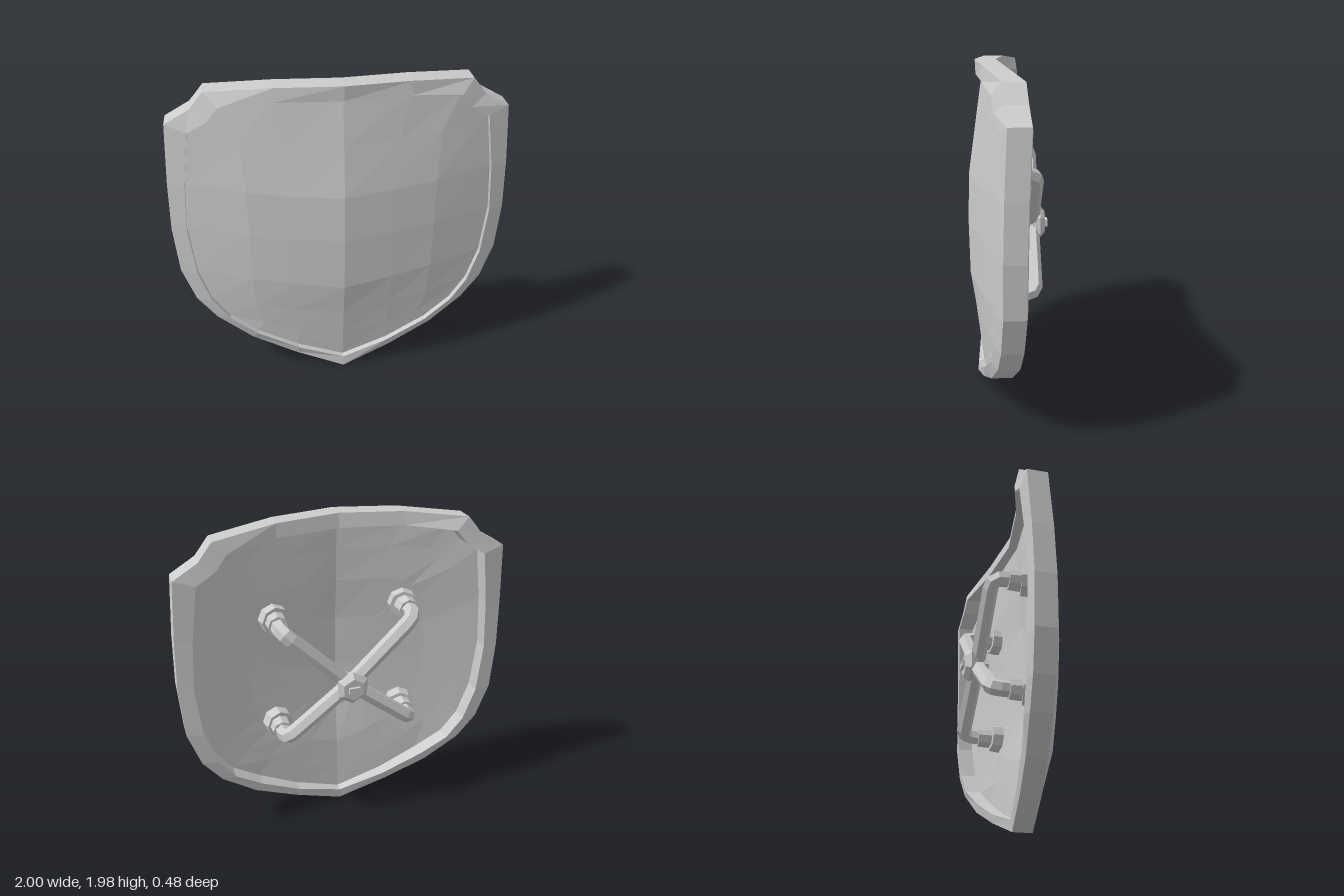
import * as THREE from 'three';

const mat = new THREE.MeshStandardMaterial({ color: 0xcccccc, flatShading: true });

// Right half of the rim, top centre to bottom tip: outer x, y, front z, inner x, y
const half = [
  [0, 1.98, 0.19, 0, 1.895], [0.37, 1.97, 0.14, 0.38, 1.89],
  [0.74, 1.93, 0.05, 0.67, 1.855], [0.82, 1.83, 0.04, 0.73, 1.775],
  [0.965, 1.745, 0.03, 0.845, 1.705], [0.99, 1.38, 0.045, 0.89, 1.38],
  [1.0, 1.08, 0.05, 0.91, 1.08], [0.98, 0.78, 0.05, 0.88, 0.77],
  [0.905, 0.56, 0.06, 0.81, 0.56], [0.79, 0.41, 0.075, 0.71, 0.42],
  [0.58, 0.25, 0.11, 0.54, 0.30], [0.31, 0.12, 0.15, 0.29, 0.17],
  [0, 0.0, 0.19, 0, 0.07],
];
const mirrored = half.slice(1, -1).reverse().map(([a, b, c, d, e]) => [-a, b, c, -d, e]);
const outline = [...half, ...mirrored];

// Right half of the panel front: rows from the bottom up, centre to edge
const rows = [
  [[0, 0.07], [0.29, 0.17], [0.54, 0.30], [0.71, 0.42]],
  [[0, 0.26], [0.28, 0.31], [0.50, 0.37], [0.71, 0.42]],
  [[0, 0.46], [0.30, 0.49], [0.54, 0.52], [0.81, 0.56]],
  [[0, 0.68], [0.30, 0.71], [0.55, 0.74], [0.88, 0.77]],
  [[0, 1.03], [0.30, 1.04], [0.55, 1.06], [0.91, 1.08]],
  [[0, 1.32], [0.30, 1.33], [0.55, 1.35], [0.89, 1.38]],
  [[0, 1.62], [0.32, 1.63], [0.57, 1.65], [0.845, 1.705]],
  [[0, 1.895], [0.38, 1.89], [0.67, 1.855], [0.73, 1.775]],
];

// Piecewise linear lookup
function lerpTable(table, v) {
  for (let i = 1; i < table.length; i++) {
    const [x0, y0] = table[i - 1], [x1, y1] = table[i];
    if (v <= x1 || i === table.length - 1) return y0 + (y1 - y0) * (v - x0) / (x1 - x0);
  }
}

// Front surface of the domed panel, with a ridge down the middle
const across = [[0, 0.24], [0.3, 0.195], [0.55, 0.152], [0.9, 0.05]];
const drop = [[0.07, 0.09], [0.45, 0.045], [0.67, 0.01], [1.0, 0], [1.33, 0.01], [1.9, 0.09]];
function dome(x, y) {
  const ax = Math.abs(x);
  return lerpTable(across, ax) - lerpTable(drop, y) * (1 - 0.6 * ax);
}

// Joins successive lines of points with quads; closed lines wrap round
function loft(lines, closed) {
  const n = lines[0].length, index = [];
  for (let i = 0; i < lines.length - 1; i++) {
    for (let j = 0; j < (closed ? n : n - 1); j++) {
      const k = (j + 1) % n;
      const a = i * n + j, b = i * n + k, c = b + n, d = a + n;
      index.push(a, b, c, a, c, d);
    }
  }
  const g = new THREE.BufferGeometry();
  g.setAttribute('position', new THREE.Float32BufferAttribute(lines.flat(2), 3));
  g.setIndex(index);
  g.computeVertexNormals();
  return g;
}

function add(parent, name, geometry, x = 0, y = 0, z = 0) {
  const m = new THREE.Mesh(geometry, mat);
  m.name = name;
  m.position.set(x, y, z);
  parent.add(m);
  return m;
}

// Faceted disc or post along z, from z0 (front) back to z1
function boss(parent, name, x, y, z0, z1, rFront, rBack, sides) {
  const g = new THREE.CylinderGeometry(rBack, rFront, z0 - z1, sides);
  g.rotateX(-Math.PI / 2);
  return add(parent, name, g, x, y, (z0 + z1) / 2);
}

export function createModel() {
  const model = new THREE.Group();
  model.name = 'shield';

  // Raised rim: four-cornered section swept round the outline
  const section = [
    ([x, y, z]) => [x, y, z],
    ([x, y, z]) => [x, y, z - 0.12],
    ([, , z, x, y]) => [x, y, z - 0.13],
    ([, , , x, y]) => [x, y, dome(x, y) + 0.035],
  ];
  section.push(section[0]);
  add(model, 'rim', loft(section.map((f) => outline.map(f)), true));

  // Domed front of the panel
  const front = rows.map((row) => {
    const left = row.slice(1).reverse().map(([x, y]) => [-x, y]);
    return [...left, ...row].map(([x, y]) => [x, y, dome(x, y)]);
  });
  add(model, 'panelFront', loft(front, false));

  // Hollow back of the panel: rings from the rim in, a little thicker toward the centre
  const cy = 1.0;
  const rings = [[1, 0.035], [0.84, 0.05], [0.62, 0.07], [0.34, 0.08], [0, 0.085]];
  add(model, 'panelBack', loft(rings.map(([t, thick]) => outline.map(([, , , ix, iy]) => {
    const x = ix * t, y = cy + (iy - cy) * t;
    return [x, y, dome(x, y) - thick];
  })), true));

  // Crossed grip: four bent bars with mounting flanges
  const grip = new THREE.Group();
  grip.name = 'grip';
  model.add(grip);
  const barZ = -0.145;
  for (const side of [1, -1]) {
    for (const fy of [1.39, 0.69]) {
      const fx = 0.4 * side;
      const at = (t, z) => new THREE.Vector3(fx * t, cy + (fy - cy) * t, z);
      const path = new THREE.CurvePath();
      path.add(new THREE.LineCurve3(at(0, barZ), at(0.88, barZ)));
      path.add(new THREE.QuadraticBezierCurve3(at(0.88, barZ), at(1, barZ), at(1, -0.085)));
      path.add(new THREE.LineCurve3(at(1, -0.085), at(1, 0.06)));
      add(grip, 'gripBar', new THREE.TubeGeometry(path, 18, 0.047, 6));
      boss(grip, 'flangeCollar', fx, fy, 0.06, -0.05, 0.065, 0.06, 8);
      const flange = boss(grip, 'flange', fx, fy, 0.1, 0.025, 0.09, 0.085, 8);
      flange.rotation.y = 0.16 * side;
    }
  }

  // Central hub, its clamp plate and the key through it
  boss(grip, 'hubPost', 0, cy, -0.08, -0.19, 0.05, 0.05, 8);
  boss(grip, 'hubBody', 0, cy, -0.15, -0.195, 0.085, 0.105, 6);
  boss(grip, 'hubPlate', 0, cy, -0.195, -0.225, 0.105, 0.07, 6);
  add(grip, 'hubKey', new THREE.BoxGeometry(0.065, 0.04, 0.04), 0, cy, -0.222);

  return model;
}
